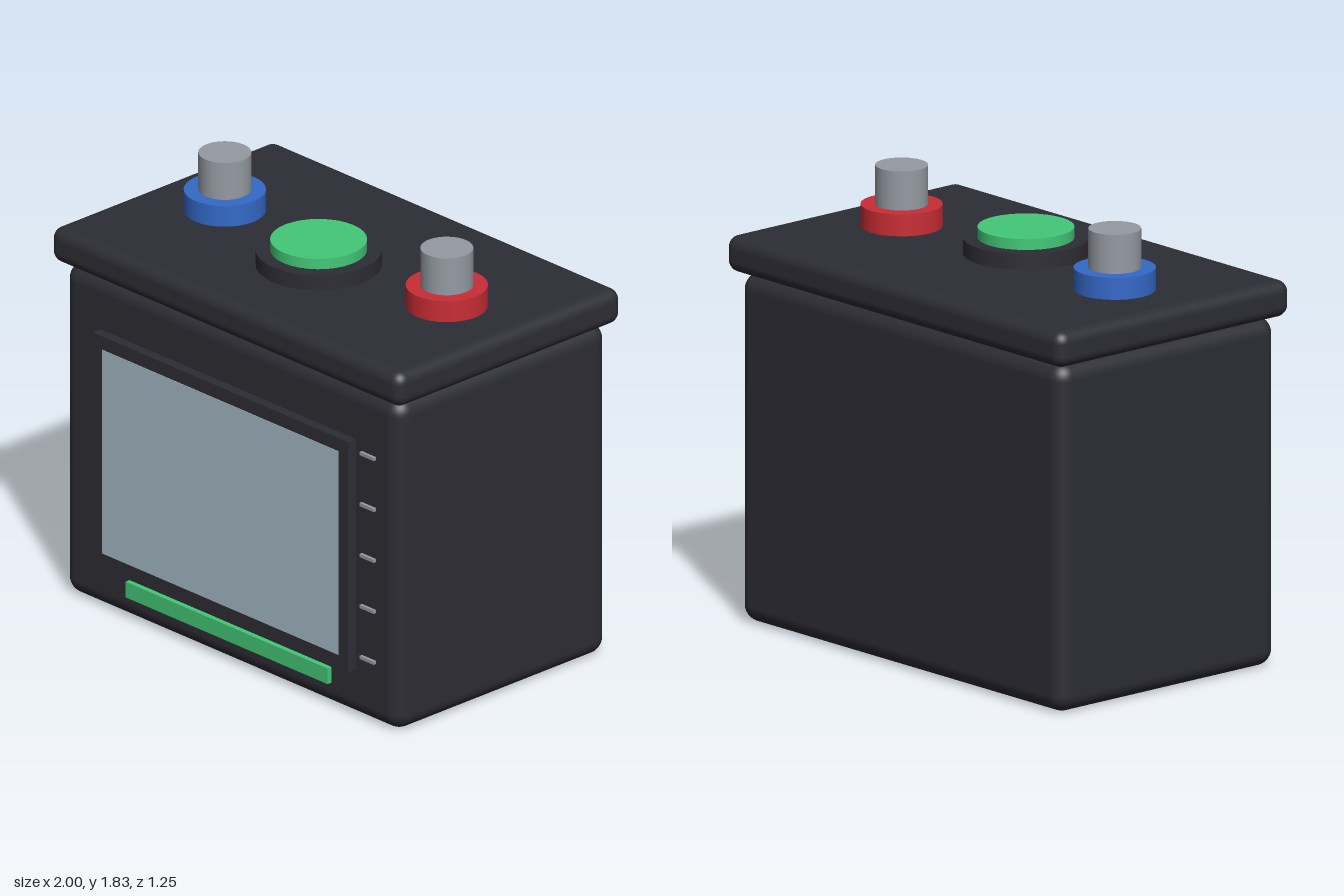
import * as THREE from 'three';
import { RoundedBoxGeometry } from 'three/addons/geometries/RoundedBoxGeometry.js';

function material(name, color) {
  const m = new THREE.MeshStandardMaterial({ color });
  m.name = name;
  return m;
}

export function createModel() {
  const group = new THREE.Group();
  const casing = material('dark casing', 0x2d2d35);
  const glass = material('pale screen', 0xa7bcc9);
  const green = material('green', 0x44c878);
  const blue = material('blue', 0x3469c8);
  const red = material('red', 0xc82d35);
  const metal = material('grey metal', 0x959aa3);

  function add(name, geometry, mat, x, y, z) {
    const mesh = new THREE.Mesh(geometry, mat);
    mesh.name = name;
    mesh.position.set(x, y, z);
    group.add(mesh);
  }
  // Boxes and discs are given by their extents
  function box(name, mat, x0, x1, y0, y1, z0, z1, radius = 0) {
    const size = [x1 - x0, y1 - y0, z1 - z0];
    const geometry = radius
      ? new RoundedBoxGeometry(...size, 4, radius)
      : new THREE.BoxGeometry(...size);
    add(name, geometry, mat, (x0 + x1) / 2, (y0 + y1) / 2, (z0 + z1) / 2);
  }
  function disc(name, mat, radius, x, z, y0, y1) {
    add(name, new THREE.CylinderGeometry(radius, radius, y1 - y0, 32), mat, x, (y0 + y1) / 2, z);
  }

  // Case and overhanging lid
  box('caseBody', casing, -0.96, 0.96, 0, 1.43, -0.584, 0.57, 0.07);
  box('lid', casing, -1, 1, 1.43, 1.58, -0.622, 0.608, 0.05);

  // Display: mount, bezel and thin screen plate
  box('screenMount', casing, -0.675, 0.675, 0.275, 1.158, 0.56, 0.585);
  box('screenBezel', casing, -0.73, 0.73, 0.215, 1.215, 0.583, 0.626);
  box('screen', glass, -0.675, 0.675, 0.275, 1.158, 0.62, 0.628);

  // Status light bar under the display
  box('lightBar', green, -0.577, 0.577, 0.105, 0.173, 0.56, 0.592);

  // Scale marks beside the display
  for (let i = 0; i < 5; i++) {
    const y = 0.275 + i * 0.221;
    box('scaleMark', metal, 0.75, 0.83, y - 0.007, y + 0.007, 0.56, 0.583);
  }

  // Terminals with coloured collars
  for (const [side, mat] of [[-1, blue], [1, red]]) {
    disc('terminalCollar', mat, 0.163, side * 0.634, -0.006, 1.57, 1.67);
    disc('terminalPost', metal, 0.105, side * 0.634, -0.006, 1.66, 1.83);
  }

  // Push button
  disc('buttonBase', casing, 0.25, 0, 0.088, 1.57, 1.645);
  disc('button', green, 0.192, 0, 0.088, 1.64, 1.69);

  return group;
}
